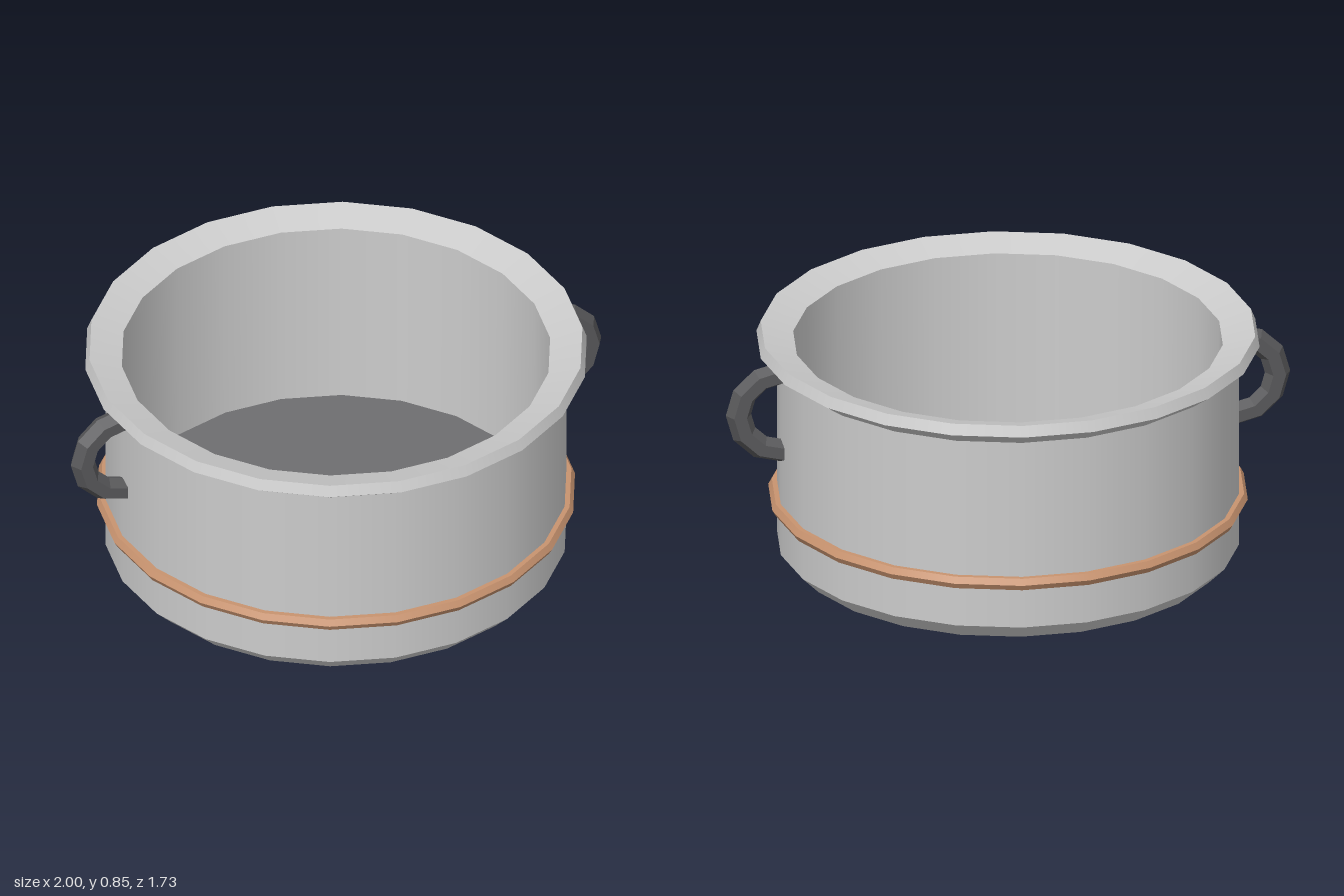
import * as THREE from 'three';
import { mergeGeometries } from 'three/addons/utils/BufferGeometryUtils.js';

const SIDES = 22;

// Lathe that is smooth around the axis but sharp at every profile corner.
function creasedLathe(profile) {
  const bands = [];
  for (let i = 0; i < profile.length - 1; i++) {
    const pair = [profile[i], profile[i + 1]].map(([r, y]) => new THREE.Vector2(r, y));
    bands.push(new THREE.LatheGeometry(pair, SIDES, Math.PI / 2));
  }
  return mergeGeometries(bands);
}

function addMesh(parent, name, geometry, material) {
  const mesh = new THREE.Mesh(geometry, material);
  mesh.name = name;
  parent.add(mesh);
  return mesh;
}

export function createModel() {
  const group = new THREE.Group();
  group.name = 'cookingPot';

  const metal = new THREE.MeshStandardMaterial({ color: 0xcccccc });
  const copper = new THREE.MeshStandardMaterial({ color: 0xc8936f });
  const floorDark = new THREE.MeshStandardMaterial({ color: 0x6e6e70 });
  const handleDark = new THREE.MeshStandardMaterial({ color: 0x59595b, flatShading: true });

  // Body: chamfered base, straight wall, flared rim sloping inward, inner wall
  addMesh(group, 'potBody', creasedLathe([
    [0, 0], [0.745, 0], [0.805, 0.06], [0.805, 0.757],
    [0.876, 0.807], [0.861, 0.845], [0.748, 0.81], [0.742, 0.11],
  ]), metal);

  // Dark inside floor
  addMesh(group, 'potFloor', creasedLathe([[0.742, 0.11], [0, 0.11]]), floorDark);

  // Copper band with a six-sided section
  const hexagon = [];
  for (let i = 0; i <= 6; i++) {
    const a = (i * Math.PI) / 3;
    hexagon.push([0.81 + 0.025 * Math.cos(a), 0.23 + 0.025 * Math.sin(a)]);
  }
  addMesh(group, 'copperBand', creasedLathe(hexagon), copper);

  // Half-ring handles, ends sunk into the wall
  const handleGeometry = new THREE.TorusGeometry(0.155, 0.045, 6, 6, Math.PI);
  handleGeometry.rotateZ(-Math.PI / 2);
  handleGeometry.scale(1, 0.945, 1);
  for (const [name, side] of [['leftHandle', 1], ['rightHandle', -1]]) {
    const handle = addMesh(group, name, handleGeometry, handleDark);
    handle.position.set(side * 0.8, 0.602, 0);
    handle.rotation.y = side > 0 ? 0 : Math.PI;
  }

  return group;
}
